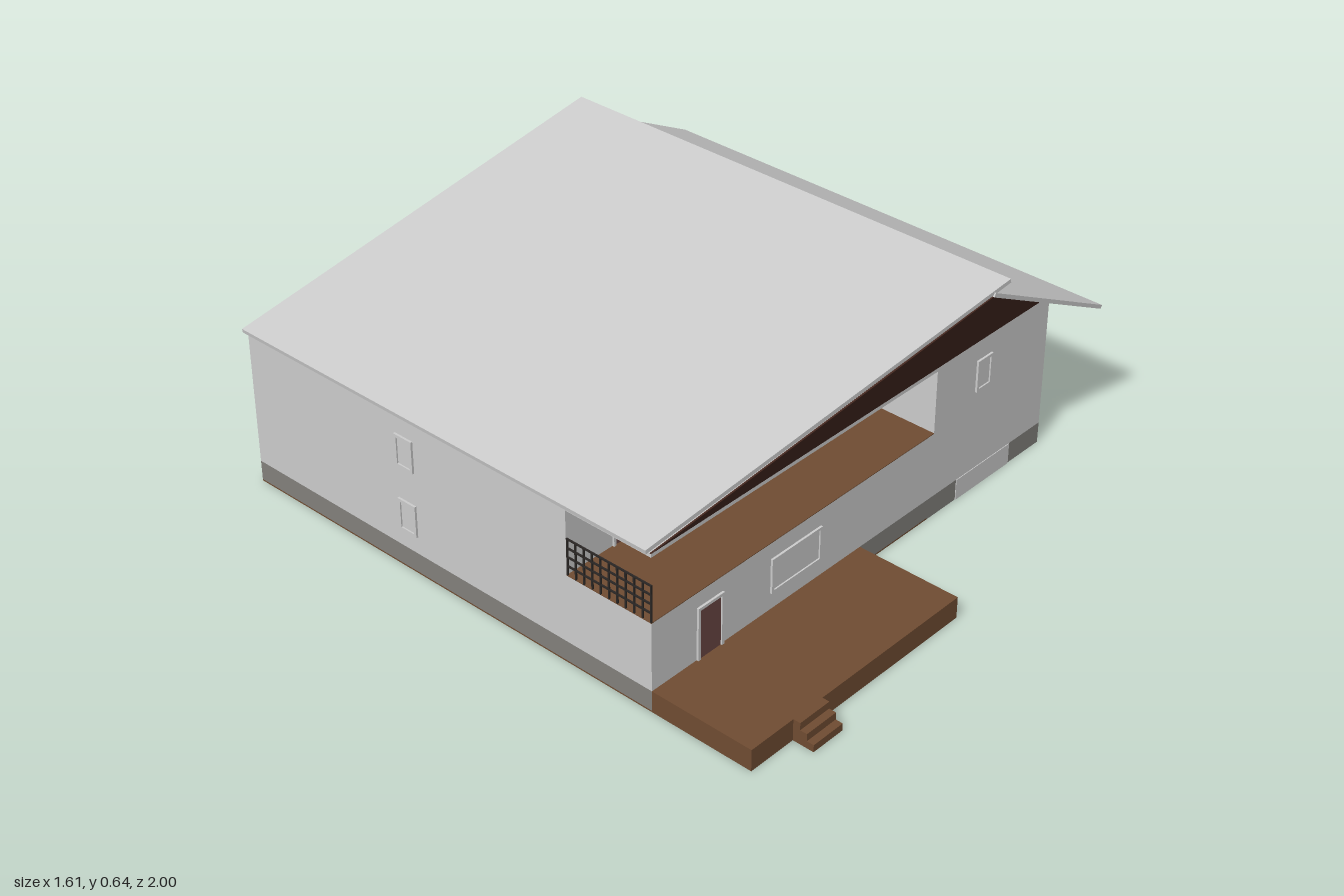
import * as THREE from 'three';

const mat = (name, color) => {
  const m = new THREE.MeshStandardMaterial({ color });
  m.name = name;
  return m;
};

export function createModel() {
  const house = new THREE.Group();
  house.name = 'house';
  const wall = mat('lightWall', 0xcccccc);
  const roofMat = mat('roofGrey', 0xcccccc);
  const stone = mat('foundationGrey', 0x82807c);
  const wood = mat('deckBrown', 0x704c32);
  const doorMat = mat('doorMaroon', 0x6a4643);
  const gableMat = mat('gableDarkBrown', 0x43271f);
  const metal = mat('railingDark', 0x2b2725);
  gableMat.side = THREE.DoubleSide;

  // Box given by its extents on each axis
  const box = (name, m, x0, x1, y0, y1, z0, z1, parent = house) => {
    const mesh = new THREE.Mesh(new THREE.BoxGeometry(x1 - x0, y1 - y0, z1 - z0), m);
    mesh.position.set((x0 + x1) / 2, (y0 + y1) / 2, (z0 + z1) / 2);
    mesh.name = name;
    parent.add(mesh);
    return mesh;
  };

  const L = -0.79, R = 0.675, B = -0.7, F = 0.645; // wall planes
  const base = 0.06, floor2 = 0.25, top = 0.44;
  const balconyR = 0.22, balconyZ = 0.385;

  // Foundation and underside
  box('foundation', stone, L, R, 0.004, base, B, F);
  box('floorUnderside', wood, L, 0.21, 0, 0.004, B, F);
  box('floorUndersideBack', wood, 0.21, R, 0, 0.004, B, 0.07);
  box('garageFloor', stone, 0.21, R, 0, 0.004, 0.07, F);
  box('garageThreshold', wall, 0.325, 0.545, 0, base, F, F + 0.002);

  // Walls, with a corner balcony cut into the upper floor
  box('lowerStorey', wall, L, R, base, floor2, B, F);
  box('upperStorey', wall, L, R, floor2, top, B, balconyZ);
  box('upperFrontRoom', wall, balconyR, R, floor2, top, balconyZ, F);
  box('balconyCeiling', wall, L, balconyR, 0.43, top, balconyZ, F);
  box('balconyFloor', wood, L, balconyR, floor2, floor2 + 0.002, balconyZ, F);

  // Balcony side railing
  const railing = new THREE.Group();
  railing.name = 'balconyRailing';
  house.add(railing);
  for (let i = 0; i < 4; i++) {
    const y = floor2 + 0.025 + i * 0.025;
    box('rail', metal, L, L + 0.004, y, y + 0.004, balconyZ, F, railing);
  }
  for (let i = 0; i <= 10; i++) {
    const z = balconyZ + (i / 10) * (F - balconyZ - 0.004);
    box('railPost', metal, L, L + 0.004, floor2, floor2 + 0.1, z, z + 0.004, railing);
  }

  // Decks, each with steps
  box('frontDeck', wood, L, -0.055, 0, base, F, 0.94);
  box('backDeck', wood, -0.055, R, 0, base, -1, B);
  for (let i = 0; i < 3; i++) {
    const y = base - i * 0.02, d = (i + 1) * 0.02;
    box('frontStep', wood, -0.65, -0.55, 0, y, 0.92 + d, 0.94 + d);
    box('backStep', wood, -0.055 - d, -0.035 - d, 0, y, -0.92, -0.82);
  }

  // Framed opening, built facing +z and turned onto its wall
  const opening = (name, w, h, fill, x, y, z, turn = 0) => {
    const g = new THREE.Group();
    const t = 0.008, isDoor = fill === doorMat;
    g.name = name;
    box('panel', fill, -w / 2 + t, w / 2 - t, isDoor ? 0 : t, h - t, 0, 0.002, g);
    box('frameTop', wall, -w / 2, w / 2, h - t, h, 0, 0.006, g);
    if (!isDoor) box('frameSill', wall, -w / 2, w / 2, 0, t, 0, 0.006, g);
    for (const s of [-1, 1]) {
      const c = s * (w / 2 - t / 2);
      box('frameSide', wall, c - t / 2, c + t / 2, isDoor ? 0 : t, h - t, 0, 0.006, g);
    }
    g.position.set(x, y, z);
    g.rotation.y = turn;
    house.add(g);
  };
  const H = Math.PI / 2;
  opening('frontDoor', 0.088, 0.148, doorMat, -0.597, base, F);
  opening('balconyDoorLeft', 0.088, 0.146, doorMat, -0.597, floor2, balconyZ);
  opening('balconyDoorRight', 0.088, 0.146, doorMat, 0.09, floor2, balconyZ);
  opening('backDoor', 0.088, 0.148, doorMat, 0.475, base, B, Math.PI);
  opening('frontWideWindow', 0.18, 0.098, wall, -0.297, 0.107, F);
  opening('backWideWindow', 0.18, 0.098, wall, -0.062, 0.107, B, Math.PI);
  opening('balconyWindow', 0.06, 0.09, wall, -0.357, 0.295, balconyZ);
  opening('frontNarrowWindow', 0.06, 0.09, wall, 0.41, 0.295, F);
  opening('rightWindow', 0.185, 0.094, wall, R, 0.295, 0.393, H);
  opening('leftUpperWindow', 0.06, 0.09, wall, L, 0.295, -0.145, -H);
  opening('leftLowerWindow', 0.06, 0.09, wall, L, 0.11, -0.145, -H);

  // Prism from an outline in x and y; frontZ and backZ set the two ends by rule
  const prism = (name, m, pts, backZ, frontZ) => {
    const shape = new THREE.Shape(pts.map(([x, y]) => new THREE.Vector2(x, y)));
    const geo = new THREE.ExtrudeGeometry(shape, { depth: 1, bevelEnabled: false });
    const p = geo.attributes.position;
    for (let i = 0; i < p.count; i++) {
      const x = p.getX(i), y = p.getY(i);
      p.setZ(i, p.getZ(i) > 0.5 ? frontZ(x, y) : backZ(x, y));
    }
    geo.computeVertexNormals();
    const mesh = new THREE.Mesh(geo, m);
    mesh.name = name;
    house.add(mesh);
  };
  const t = 0.011;
  const back = () => -0.703;

  // Long slope, its front edge flaring out towards the ridge
  prism('longRoofSlope', roofMat,
    [[-0.803, 0.456 - t], [0.39, 0.645 - t], [0.388, 0.645], [-0.805, 0.456]],
    back, (x) => 0.642 + 0.078 * Math.min(1, (x + 0.805) / 1.15));
  // Short slope, tucked under the ridge
  prism('shortRoofSlope', roofMat,
    [[0.325, 0.621], [0.798, 0.378], [0.803, 0.387], [0.33, 0.631]],
    back, () => 0.72);
  // Front gable leaning outwards to its peak
  const lean = (x, y) => F + (y - top) * 0.4;
  prism('frontGable', gableMat, [[L, top], [R, top], [0.33, 0.622]],
    (x, y) => lean(x, y) - 0.005, lean);

  return house;
}
